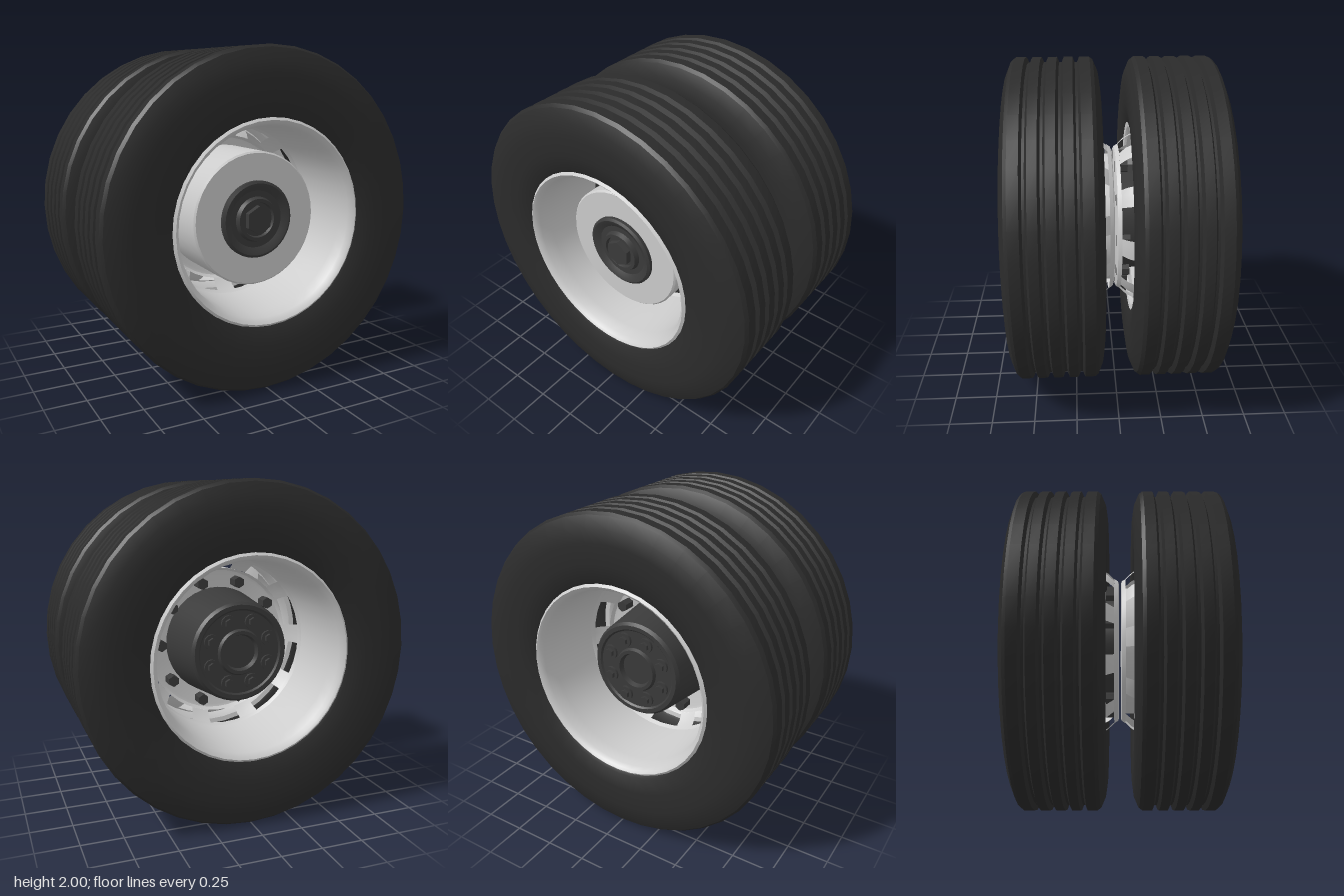
import * as THREE from 'three';
import { toCreasedNormals } from 'three/addons/utils/BufferGeometryUtils.js';

const material = (color) => new THREE.MeshStandardMaterial({ color, side: THREE.DoubleSide });
const rubber = material(0x2b2b2b);
const darkMetal = material(0x3a3a3a);
const steel = material(0xcccccc);
const DEG = Math.PI / 180;

// Revolves [radius, z] points around the axle (z axis), keeping hard edges.
function revolve(name, profile, mat, segments = 40, start = 0, sweep = Math.PI * 2) {
  const points = profile.map(([r, z]) => new THREE.Vector2(r, z));
  const geometry = new THREE.LatheGeometry(points, segments, start, sweep).rotateX(Math.PI / 2);
  const mesh = new THREE.Mesh(toCreasedNormals(geometry, 28 * DEG), mat);
  mesh.name = name;
  return mesh;
}

// Cylinder lying along the axle.
function stud(name, radius, length, sides, x, y, z, mat) {
  const geometry = new THREE.CylinderGeometry(radius, radius, length, sides).rotateX(Math.PI / 2);
  const mesh = new THREE.Mesh(toCreasedNormals(geometry, 40 * DEG), mat);
  mesh.name = name;
  mesh.position.set(x, y, z);
  return mesh;
}

// Repeats a stud in a circle.
function studCircle(name, count, circle, radius, length, sides, z, mat) {
  const group = new THREE.Group();
  group.name = name;
  for (let i = 0; i < count; i++) {
    const a = (i + 0.5) / count * Math.PI * 2;
    group.add(stud(name, radius, length, sides, circle * Math.sin(a), circle * Math.cos(a), z, mat));
  }
  return group;
}

// Tyre section: inner sidewall, grooved tread, outer sidewall, inner bead.
function makeTyre() {
  const mid = 0.355;
  const tread = [];
  for (const z of [0.215, 0.308, 0.402, 0.495]) {
    tread.push([1, z - 0.02], [0.968, z - 0.007], [0.968, z + 0.007], [1, z + 0.02]);
  }
  const side = [[0.585, 0.23], [0.62, 0.255], [0.72, 0.272], [0.84, 0.279], [0.92, 0.268], [0.985, 0.24]];
  const inner = side.map(([r, d]) => [r, mid - d]);
  const outer = side.map(([r, d]) => [r, mid + d]).reverse();
  return revolve('tyre', [...inner, [1, 0.135], ...tread, [1, 0.575], ...outer, inner[0]], rubber);
}

// One wheel with its mounting face at z = 0 and its dish opening to +z.
function makeWheel(name, spokeAngle) {
  const wheel = new THREE.Group();
  wheel.name = name;
  wheel.add(makeTyre());
  wheel.add(revolve('rimBarrel', [
    [0.6, 0.1], [0.57, 0.105], [0.545, 0.125], [0.535, 0.14], [0.55, 0.5],
    [0.56, 0.575], [0.575, 0.6], [0.59, 0.612], [0.605, 0.6], [0.605, 0.57],
  ], steel));

  // Wheel disc: flat centre and cone, with ten windows left between the spokes
  wheel.add(revolve('wheelDisc', [[0, 0.006], [0.43, 0.006], [0.447, 0.012], [0.462, 0.035]], steel));
  wheel.add(revolve('windowOuterRing', [[0.522, 0.115], [0.535, 0.14]], steel));
  const spokes = new THREE.Group();
  spokes.name = 'discSpokes';
  const width = 13.5 * DEG;
  for (let i = 0; i < 10; i++) {
    const start = (spokeAngle + i * 36) * DEG - width / 2;
    spokes.add(revolve('discSpoke', [[0.462, 0.035], [0.5, 0.075], [0.522, 0.115]], steel, 3, start, width));
  }
  wheel.add(spokes);
  return wheel;
}

export function createModel() {
  const model = new THREE.Group();
  model.name = 'dualWheel';
  const axle = new THREE.Group();
  axle.name = 'axleAssembly';
  axle.position.y = 1;
  model.add(axle);

  // Outer wheel with a broad hub cover and a dark axle cap
  const front = makeWheel('frontWheel', 213);
  front.add(revolve('hubCover', [[0.4, 0.01], [0.4, 0.42], [0.39, 0.43], [0, 0.43]], steel));
  front.add(revolve('axleCap', [
    [0.23, 0.43], [0.23, 0.45], [0.215, 0.46], [0.2, 0.455], [0.17, 0.437],
    [0.135, 0.437], [0.125, 0.465], [0.105, 0.465], [0.1, 0.445], [0, 0.445],
  ], darkMetal));
  front.add(stud('axleNut', 0.085, 0.04, 6, 0, 0, 0.46, darkMetal));

  // Inner wheel turned about, with a bolted hub and wheel nuts
  const rear = makeWheel('rearWheel', 200);
  rear.rotation.y = Math.PI;
  rear.add(revolve('rearHub', [
    [0.34, 0.01], [0.33, 0.1], [0.3, 0.38], [0.285, 0.4], [0.26, 0.4],
    [0.25, 0.39], [0.14, 0.39], [0.13, 0.41], [0.11, 0.41], [0.1, 0.38], [0, 0.38],
  ], darkMetal));
  rear.add(studCircle('hubBoltWasher', 8, 0.195, 0.046, 0.02, 12, 0.395, darkMetal));
  rear.add(studCircle('hubBolt', 8, 0.195, 0.028, 0.04, 6, 0.405, darkMetal));
  rear.add(studCircle('wheelNut', 10, 0.39, 0.036, 0.08, 6, 0.045, darkMetal));

  axle.add(front, rear);
  return model;
}
